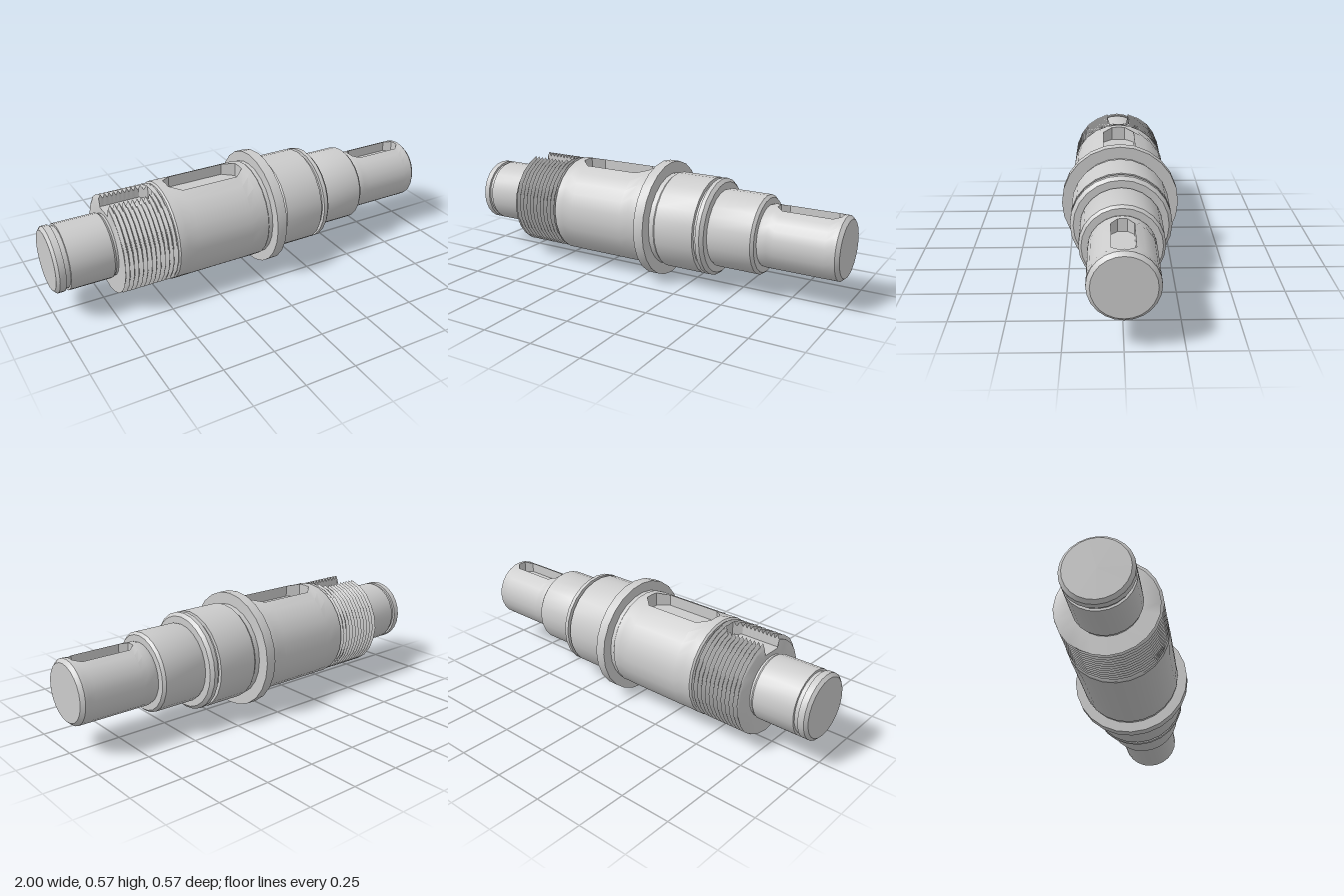
import * as THREE from 'three';
import { toCreasedNormals } from 'three/addons/utils/BufferGeometryUtils.js';

const AXIS_Y = 0.285;
const ARC = 22; // segments of the round part of each cross-section
const material = new THREE.MeshStandardMaterial({ color: 0xcccccc, side: THREE.DoubleSide });

// Cross-section at x: a round arc, closed on top by a keyway floor or, without one, by the arc itself.
function ring({ x, r, w, floor }) {
  const radius = typeof r === 'function' ? r : () => r;
  const half = w ?? radius(0) * 0.25;
  const a = Math.asin(half / radius(0));
  const at = (t) => [x, radius(t) * Math.cos(t), radius(t) * Math.sin(t)];
  const pts = [];
  for (let i = 0; i <= ARC; i++) pts.push(at(a + (2 * Math.PI - 2 * a) * i / ARC));
  for (const k of [-1, 0, 1]) {
    pts.push(floor === undefined ? at(a * k) : [x, floor, half * k]);
  }
  return pts;
}

// Skin a list of cross-sections along x
function skin(name, stations) {
  const rings = stations.map(ring);
  const n = rings[0].length;
  const index = [];
  for (let i = 0; i < rings.length - 1; i++) {
    for (let j = 0; j < n; j++) {
      const a = i * n + j, b = i * n + (j + 1) % n;
      index.push(a, b, a + n, b, b + n, a + n);
    }
  }
  const g = new THREE.BufferGeometry();
  g.setAttribute('position', new THREE.Float32BufferAttribute(rings.flat(2), 3));
  g.setIndex(index);
  const mesh = new THREE.Mesh(toCreasedNormals(g.toNonIndexed(), 0.5), material);
  mesh.name = name;
  return mesh;
}

const turned = (...pairs) => pairs.map(([x, r]) => ({ x, r }));

// Keyway with octagonal ends
function keyway(x0, x1, r, w, floor) {
  const c = w * 0.65, flat = w * 0.42;
  return [
    { x: x0, r, w: flat },
    { x: x0, r, w: flat, floor },
    { x: x0 + c, r, w, floor },
    { x: x1 - c, r, w, floor },
    { x: x1, r, w: flat, floor },
    { x: x1, r, w: flat },
  ];
}

// Helical thread with a keyway open at its outer end
function threadStations() {
  const x0 = -0.71, length = 0.26, turns = 12, steps = 8, slotEnd = 85;
  const out = [{ x: x0, r: 0.15 }];
  for (let i = 0; i <= turns * steps; i++) {
    const x = x0 + length * i / (turns * steps);
    const r = (t) => {
      const p = i / steps - t / (2 * Math.PI);
      return 0.216 + 0.048 * Math.abs(p - Math.round(p));
    };
    const w = 0.025 + Math.min(0.033, Math.max(0, -0.48 - x));
    if (i <= slotEnd) out.push({ x, r, w, floor: 0.17 });
    if (i >= slotEnd) out.push({ x, r, w });
  }
  return out;
}

export function createModel() {
  const group = new THREE.Group();
  group.name = 'steppedShaft';
  const shaft = new THREE.Group();
  shaft.name = 'shaft';
  shaft.position.y = AXIS_Y;
  group.add(shaft);

  shaft.add(
    // Narrow end with retaining groove
    skin('endJournal', turned(
      [-1, 0.0001], [-1, 0.142], [-0.987, 0.157], [-0.957, 0.157], [-0.957, 0.146],
      [-0.935, 0.146], [-0.935, 0.157], [-0.73, 0.157], [-0.72, 0.15], [-0.71, 0.15])),
    skin('thread', threadStations()),
    // Main body with wide keyway
    skin('mainBody', [
      ...turned([-0.45, 0.21], [-0.45, 0.233], [-0.442, 0.241]),
      ...keyway(-0.4, -0.01, 0.241, 0.08, 0.172),
      ...turned([0.025, 0.241], [0.03, 0.236], [0.05, 0.236]),
    ]),
    skin('collar', turned(
      [0.05, 0.23], [0.05, 0.285], [0.1, 0.285], [0.1, 0.225])),
    // Bearing seat with groove and rim
    skin('bearingSeat', turned(
      [0.1, 0.228], [0.125, 0.228], [0.135, 0.236], [0.335, 0.236], [0.335, 0.218],
      [0.352, 0.218], [0.352, 0.236], [0.372, 0.236], [0.387, 0.22], [0.387, 0.185])),
    skin('stepJournal', turned(
      [0.387, 0.185], [0.4, 0.19], [0.605, 0.19], [0.618, 0.178], [0.618, 0.146])),
    // Output end with narrow keyway
    skin('outputEnd', [
      ...turned([0.618, 0.146], [0.635, 0.151]),
      ...keyway(0.665, 0.965, 0.151, 0.05, 0.092),
      ...turned([0.983, 0.151], [1, 0.135], [1, 0.0001]),
    ]),
  );
  return group;
}
